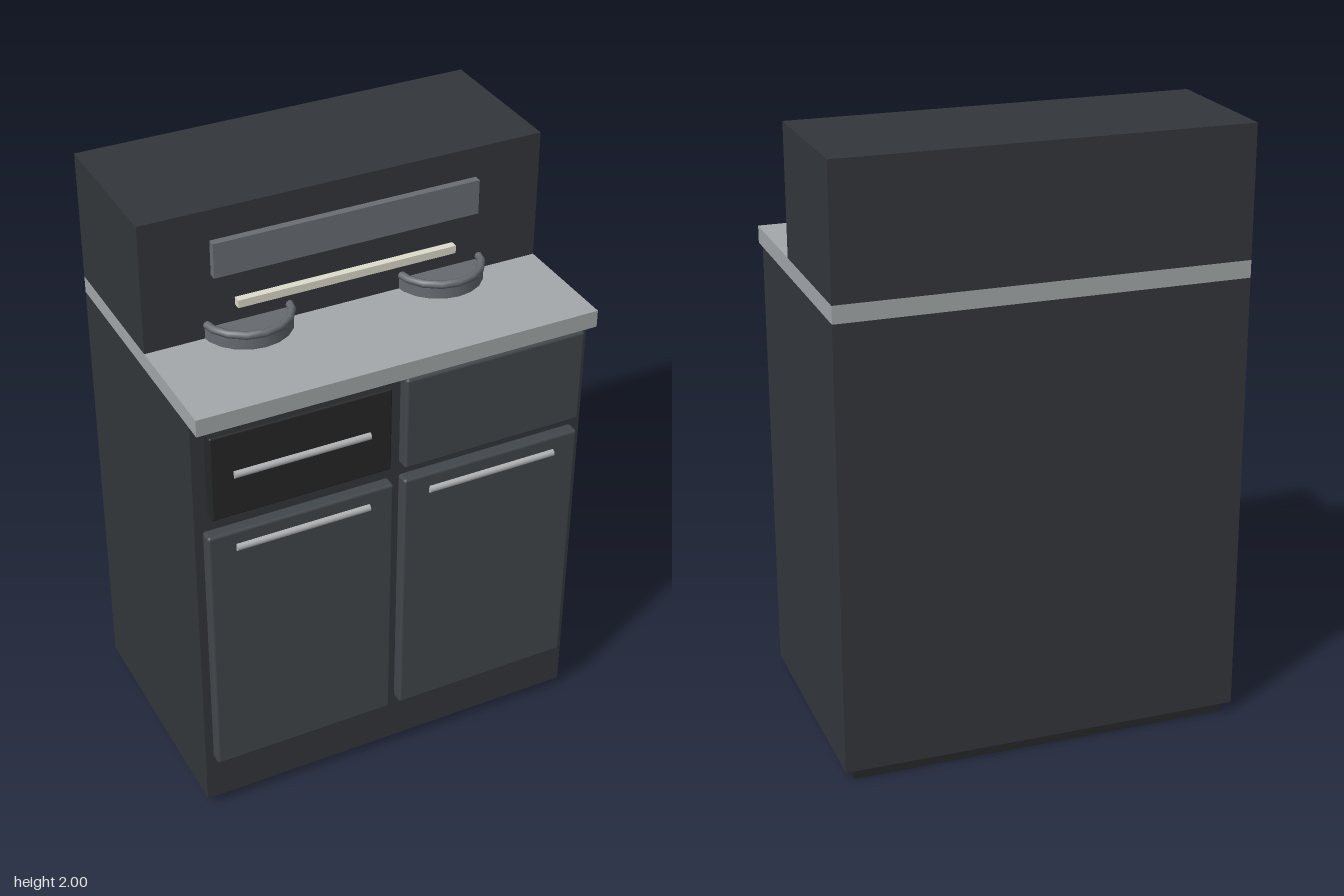
import * as THREE from 'three';
import { RoundedBoxGeometry } from 'three/addons/geometries/RoundedBoxGeometry.js';

const mat = (color) => new THREE.MeshStandardMaterial({ color });

export function createModel() {
  const group = new THREE.Group();
  const carcass = mat(0x33373b), door = mat(0x42474b), black = mat(0x262728);
  const stone = mat(0xa4a8aa), metal = mat(0xb0b2b4), iron = mat(0x666b70);
  const glass = mat(0x6a6e73), cream = mat(0xdedccb);

  const add = (name, geometry, material, x = 0, y = 0, z = 0) => {
    const mesh = new THREE.Mesh(geometry, material);
    mesh.name = name;
    mesh.position.set(x, y, z);
    group.add(mesh);
    return mesh;
  };

  // Box given by its extents; a radius rounds the edges
  const box = (name, material, [x0, x1], [y0, y1], [z0, z1], radius = 0) => {
    const size = [x1 - x0, y1 - y0, z1 - z0];
    const geometry = radius
      ? new RoundedBoxGeometry(...size, 2, radius)
      : new THREE.BoxGeometry(...size);
    return add(name, geometry, material, (x0 + x1) / 2, (y0 + y1) / 2, (z0 + z1) / 2);
  };

  // Cabinet, worktop and raised back
  const width = [-0.666, 0.666];
  box('plinth', black, [-0.637, 0.637], [0, 0.035], [-0.43, 0.315]);
  box('cabinet', carcass, width, [0.035, 1.515], [-0.444, 0.39]);
  box('worktop', stone, width, [1.515, 1.572], [-0.444, 0.444]);
  box('upperBack', carcass, width, [1.572, 2], [-0.444, 0.058]);

  // Doors and drawer fronts
  box('rightDoor', door, [-0.64, -0.02], [0.213, 1.13], [0.385, 0.432], 0.01);
  box('leftDoor', door, [0.015, 0.635], [0.213, 1.13], [0.385, 0.432], 0.01);
  box('ovenFront', black, [-0.623, -0.032], [1.19, 1.485], [0.385, 0.432], 0.006);
  box('drawerFront', door, [0.015, 0.635], [1.175, 1.5], [0.385, 0.434], 0.01);

  // Bar handles
  for (const [x, y] of [[-0.328, 1.34], [-0.328, 1.072], [0.325, 1.072]]) {
    const handle = add('handle', new THREE.CylinderGeometry(0.012, 0.012, 0.445, 12), metal, x, y, 0.433);
    handle.rotation.z = Math.PI / 2;
  }

  // Hob plates, partly set into the raised back
  for (const x of [-0.327, 0.327]) {
    add('burner', new THREE.CylinderGeometry(0.147, 0.147, 0.036, 20), iron, x, 1.59, 0.036);
    const ring = add('burnerRing', new THREE.TorusGeometry(0.14, 0.013, 8, 16), iron, x, 1.618, 0.036);
    ring.rotation.x = Math.PI / 2;
  }

  // Display panel and light strip
  box('displayPanel', glass, [-0.444, 0.442], [1.785, 1.9], [0.05, 0.083]);
  box('lightStrip', cream, [-0.37, 0.367], [1.664, 1.69], [0.05, 0.083]);

  return group;
}
